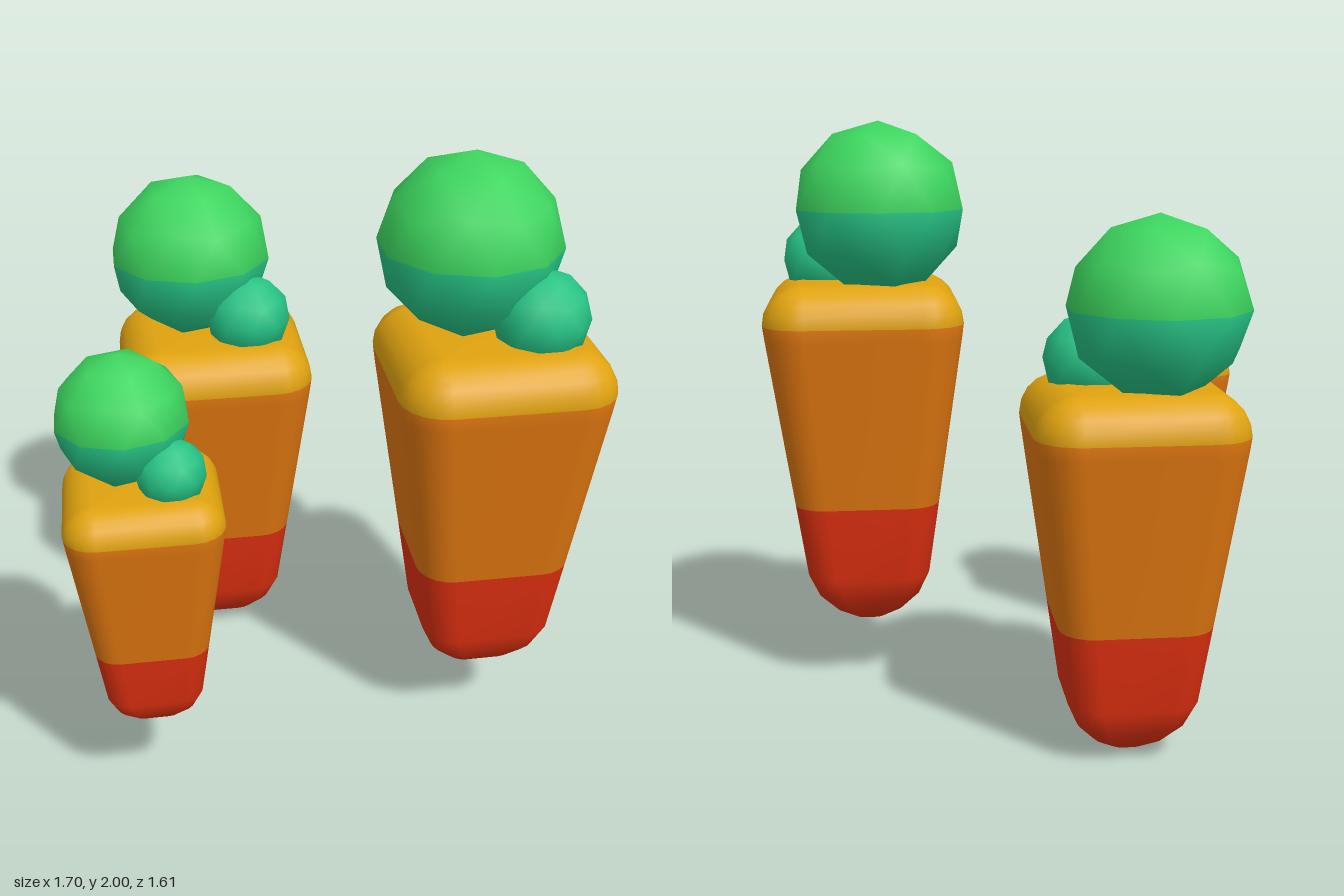
import * as THREE from 'three';

const material = (name, color) => {
  const m = new THREE.MeshStandardMaterial({ color });
  m.name = name;
  return m;
};

// Tapered block with rounded corners, lofted from [height, flat half-width, corner radius]
function blockGeometry() {
  const rings = [
    [0.007, 0.02, 0.035], [0.05, 0.055, 0.065], [0.117, 0.09, 0.09], [0.2, 0.115, 0.1],
    [0.467, 0.142, 0.11], [1.06, 0.198, 0.137], [1.107, 0.2, 0.141],
  ];
  const redTop = 4, orangeTop = 6, top = 1.242, cornerSteps = 5;
  for (let k = 1; k <= 5; k++) {
    const a = (k / 5) * Math.PI / 2 * 0.97;
    rings.push([1.107 + 0.135 * Math.sin(a), 0.2, 0.141 * Math.cos(a)]);
  }
  const pos = [], index = [];
  const n = 4 * (cornerSteps + 1);
  for (const [y, flat, radius] of rings) {
    for (let c = 0; c < 4; c++) {
      const mid = (c + 0.5) * Math.PI / 2;
      for (let s = 0; s <= cornerSteps; s++) {
        const a = (c + s / cornerSteps) * Math.PI / 2;
        pos.push(Math.sign(Math.cos(mid)) * flat + radius * Math.cos(a), y,
          Math.sign(Math.sin(mid)) * flat + radius * Math.sin(a));
      }
    }
  }
  const bottomCentre = rings.length * n, topCentre = bottomCentre + 1;
  pos.push(0, 0, 0, 0, top, 0);

  const g = new THREE.BufferGeometry();
  let start = 0;
  const closeGroup = (m) => {
    g.addGroup(start, index.length - start, m);
    start = index.length;
  };
  for (let i = 0; i < n; i++) index.push(bottomCentre, i, (i + 1) % n);
  for (let r = 0; r < rings.length - 1; r++) {
    if (r === redTop) closeGroup(0);
    if (r === orangeTop) closeGroup(1);
    for (let i = 0; i < n; i++) {
      const j = (i + 1) % n;
      const a = r * n + i, b = r * n + j, c = b + n, d = a + n;
      index.push(a, d, b, b, d, c);
    }
  }
  const last = (rings.length - 1) * n;
  for (let i = 0; i < n; i++) index.push(topCentre, last + (i + 1) % n, last + i);
  closeGroup(2);
  g.setAttribute('position', new THREE.Float32BufferAttribute(pos, 3));
  g.setIndex(index);
  g.computeVertexNormals();
  return g;
}

// Low-poly ball with a vertex at the pole; each face is grouped by hemisphere
function ballGeometry() {
  const g = new THREE.IcosahedronGeometry(1, 1);
  g.rotateX(-Math.atan((1 + Math.sqrt(5)) / 2));
  g.rotateY(Math.PI / 2);
  const p = g.attributes.position;
  for (let i = 0; i < p.count; i += 3) {
    const y = p.getY(i) + p.getY(i + 1) + p.getY(i + 2);
    g.addGroup(i, 3, y > 0 ? 0 : 1);
  }
  return g;
}

export function createModel() {
  const red = material('red base', 0xde3010);
  const orange = material('orange body', 0xde7610);
  const yellow = material('yellow top', 0xe0a310);
  const green = material('bright green', 0x3dd65f);
  const teal = material('teal green', 0x26c485);

  const block = blockGeometry(), ball = ballGeometry();
  const model = new THREE.Group();
  model.name = 'floatingIslands';

  const add = (parent, name, geometry, materials, position, radius) => {
    const m = new THREE.Mesh(geometry, materials);
    m.name = name;
    m.position.set(...position);
    m.scale.setScalar(radius);
    parent.add(m);
  };

  // The same island at three places and sizes
  const islands = [
    ['leftIsland', 0.508, 0.218, 0.293, 1],
    ['rearIsland', -0.318, 0.004, -0.43, 0.97],
    ['rightIsland', -0.616, 0.31, 0.566, 0.693],
  ];
  for (const [name, x, y, z, size] of islands) {
    const island = new THREE.Group();
    island.name = name;
    add(island, 'ground', block, [red, orange, yellow], [0, 0, 0], 1);
    add(island, 'tree', ball, [green, teal], [-0.063, 1.49, -0.093], 0.293);
    add(island, 'bush', ball, [teal, teal], [0.127, 1.305, 0.08], 0.153);
    island.position.set(x, y, z);
    island.scale.setScalar(size);
    model.add(island);
  }
  return model;
}
